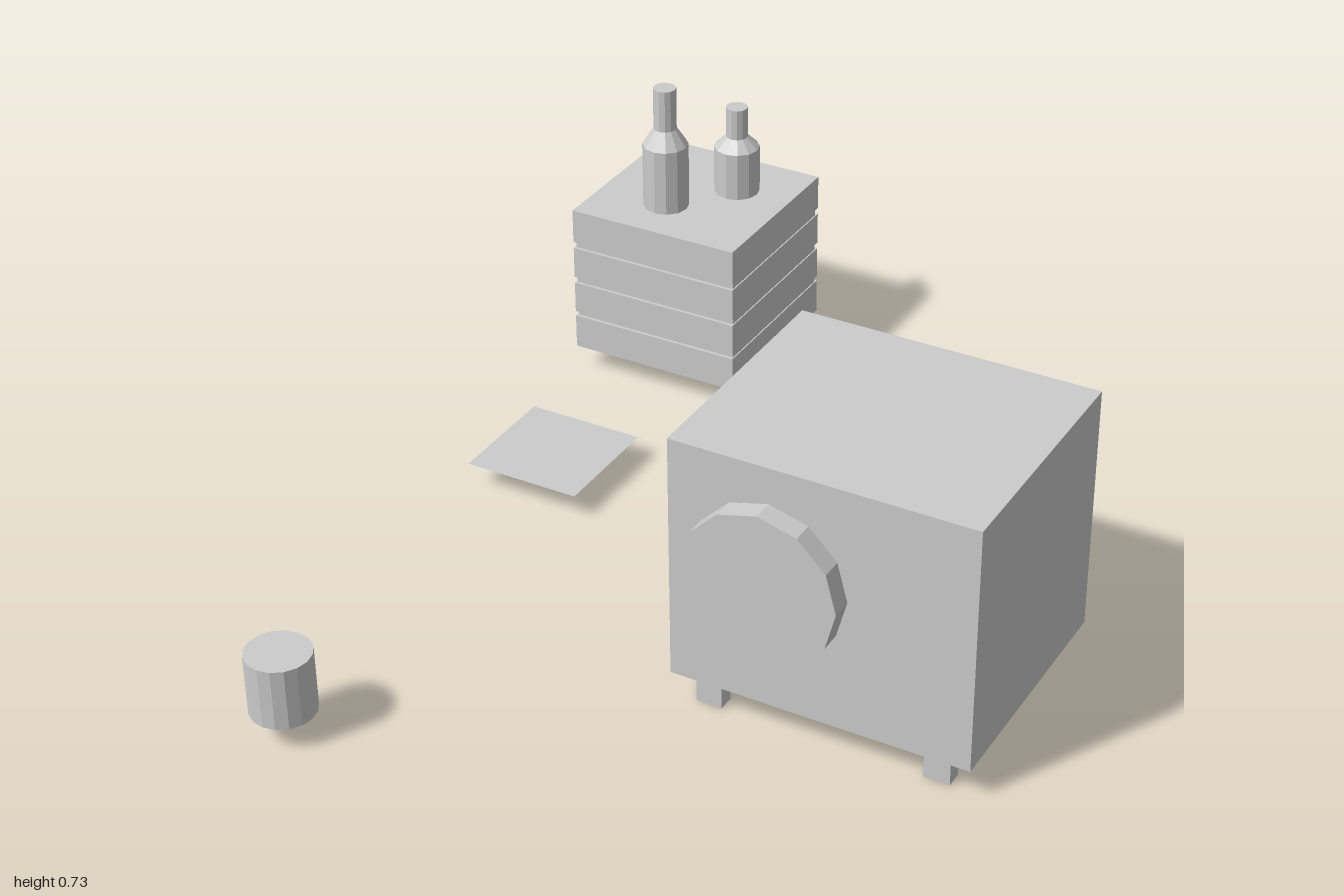
import * as THREE from 'three';

const material = new THREE.MeshStandardMaterial({ color: 0xcccccc, flatShading: true });
const openMaterial = new THREE.MeshStandardMaterial({ color: 0xcccccc, flatShading: true, side: THREE.DoubleSide });

function add(parent, name, geometry, x, y, z, mat = material) {
  const mesh = new THREE.Mesh(geometry, mat);
  mesh.name = name;
  mesh.position.set(x, y, z);
  parent.add(mesh);
  return mesh;
}

function addGroup(parent, name) {
  const group = new THREE.Group();
  group.name = name;
  parent.add(group);
  return group;
}

// Square tube without end caps
function openFoot(width, height, depth) {
  return new THREE.CylinderGeometry(Math.SQRT1_2, Math.SQRT1_2, 1, 4, 1, true)
    .rotateY(Math.PI / 4)
    .scale(width, height, depth);
}

// Bottle turned from its base: body, sloping shoulder, straight neck
function bottle(radius, neckRadius, shoulderY, neckY, topY) {
  const profile = [[0, 0], [radius, 0], [radius, shoulderY], [neckRadius, neckY], [neckRadius, topY], [0, topY]];
  return new THREE.LatheGeometry(profile.map(([r, y]) => new THREE.Vector2(r, y)), 12);
}

export function createModel() {
  const model = new THREE.Group();
  model.name = 'cabinetAndCrates';

  // Cabinet with a round door on the front and four feet
  const cabinet = addGroup(model, 'cabinet');
  add(cabinet, 'cabinetBody', new THREE.BoxGeometry(0.67, 0.563, 0.563), 0.425, 0.352, 0.183);
  add(cabinet, 'roundDoor', new THREE.CylinderGeometry(0.173, 0.173, 0.05, 12).rotateX(Math.PI / 2), 0.313, 0.379, 0.488);
  for (const x of [0.166, 0.679])
    for (const z of [-0.039, 0.422])
      add(cabinet, 'foot', openFoot(0.058, 0.07, 0.038), x, 0.035, z, openMaterial);

  // Stack of four slatted layers around a slightly recessed core
  const crate = addGroup(model, 'crate');
  const cx = -0.55, cz = -0.786, size = 0.428;
  add(crate, 'crateCore', new THREE.BoxGeometry(size - 0.006, 0.35, size - 0.016), cx, 0.243, cz);
  for (const [bottom, top] of [[0.059, 0.143], [0.155, 0.233], [0.249, 0.327], [0.343, 0.427]])
    add(crate, 'crateLayer', new THREE.BoxGeometry(size, top - bottom, size), cx, (bottom + top) / 2, cz);

  // Two bottles on the crate
  add(model, 'tallBottle', bottle(0.054, 0.027, 0.159, 0.2, 0.302), -0.587, 0.427, -0.706);
  add(model, 'shortBottle', bottle(0.054, 0.026, 0.116, 0.143, 0.218), -0.476, 0.427, -0.85);

  // Thin square mat and a small drum in front
  add(model, 'mat', new THREE.PlaneGeometry(0.28, 0.28).rotateX(-Math.PI / 2), -0.566, 0.06, -0.145, openMaterial);
  add(model, 'drum', new THREE.CylinderGeometry(0.071, 0.071, 0.141, 16), -0.538, 0.13, 0.928);

  return model;
}
